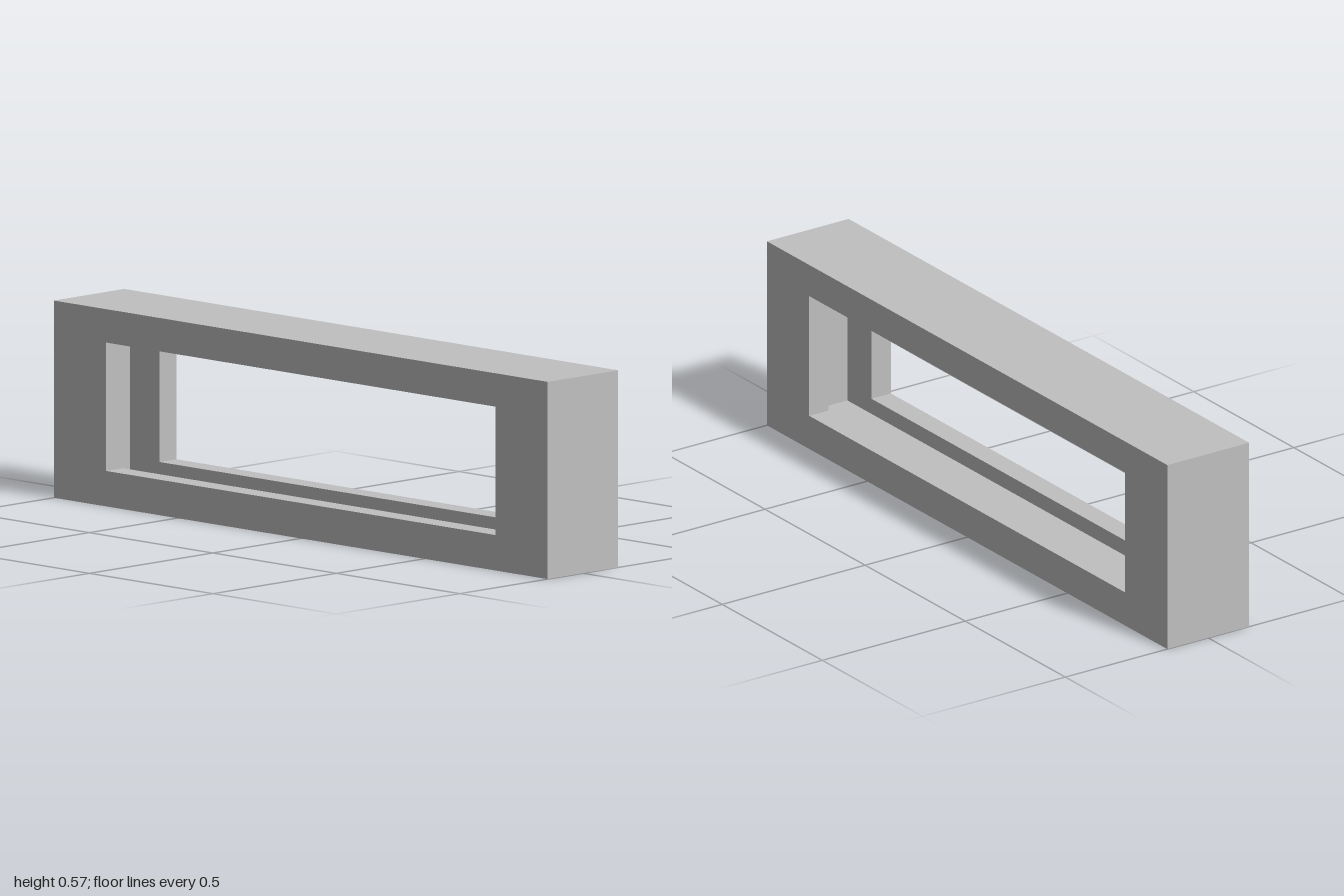
import * as THREE from 'three';

const HALF_X = 0.143; // half thickness
const LIP_X = 0.075;  // inner face of each lip

// Rectangular loop at x, counter-clockwise seen from +x
function ring(x, halfZ, y0, y1) {
  return [[x, y0, halfZ], [x, y0, -halfZ], [x, y1, -halfZ], [x, y1, halfZ]];
}

// Joins consecutive loops with flat quads; the last loop closes onto the first
function skinLoops(loops) {
  const positions = [];
  loops.forEach((loop, i) => {
    const next = loops[(i + 1) % loops.length];
    for (let j = 0; j < 4; j++) {
      const k = (j + 1) % 4;
      const [a, b, c, d] = [loop[j], loop[k], next[k], next[j]];
      positions.push(...a, ...b, ...c, ...a, ...c, ...d);
    }
  });
  const geometry = new THREE.BufferGeometry();
  geometry.setAttribute('position', new THREE.Float32BufferAttribute(positions, 3));
  geometry.computeVertexNormals();
  return geometry;
}

export function createModel() {
  const group = new THREE.Group();
  group.name = 'slottedFrame';

  const grey = new THREE.MeshStandardMaterial({ color: 0xc0c0c0 });
  grey.name = 'lightGrey';

  const outer = (x) => ring(x, 1, 0, 0.573);
  const opening = (x) => ring(x, 0.789, 0.103, 0.476);
  const groove = (x) => ring(x, 0.909, 0.056, 0.512);

  // Outside walls, then through the opening with a wider groove between two lips
  const frame = new THREE.Mesh(skinLoops([
    outer(-HALF_X), outer(HALF_X),
    opening(HALF_X), opening(LIP_X),
    groove(LIP_X), groove(-LIP_X),
    opening(-LIP_X), opening(-HALF_X),
  ]), grey);
  frame.name = 'groovedFrame';
  group.add(frame);

  return group;
}
